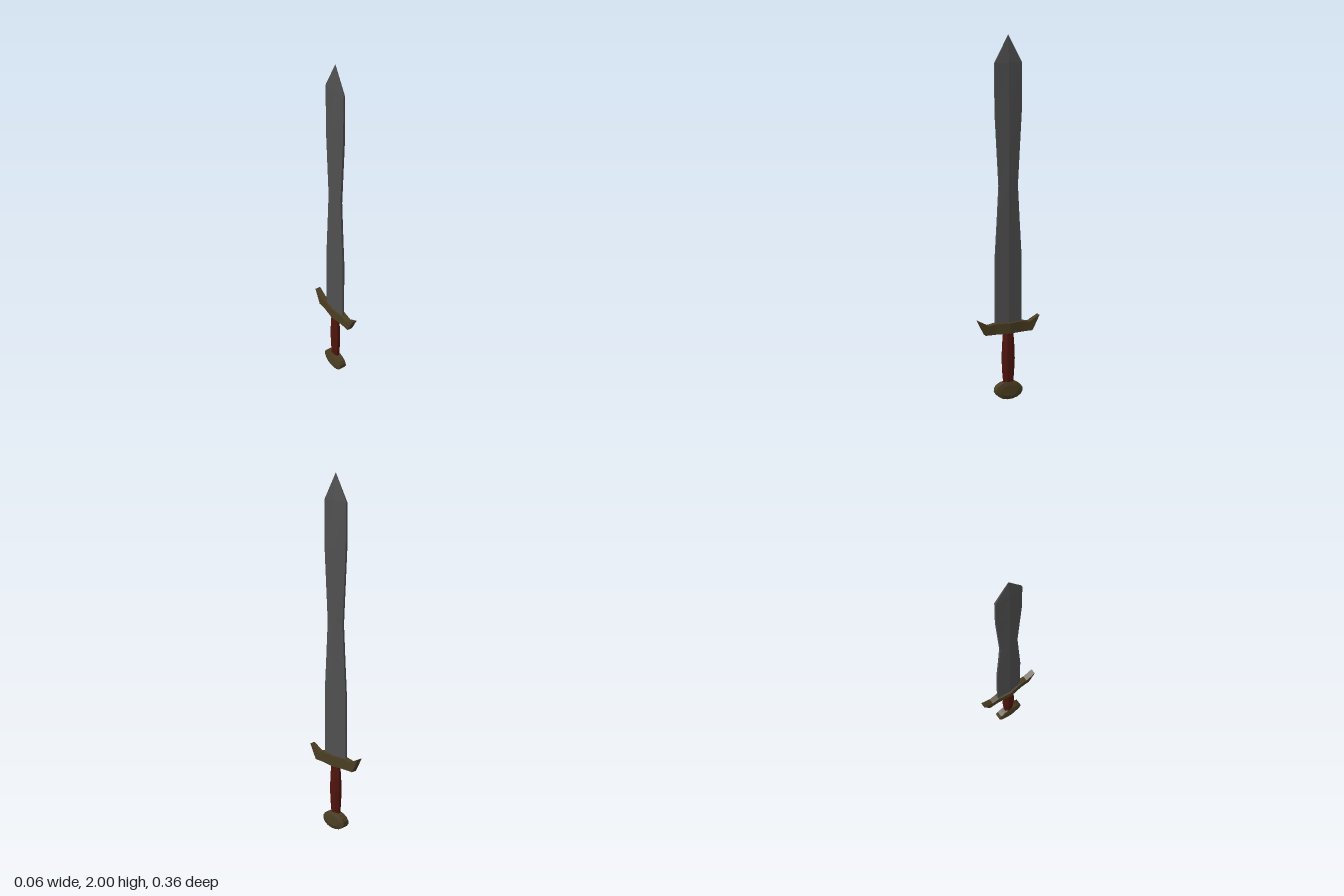
import * as THREE from 'three';

// Skin a list of equal-sized rings (counter-clockwise about the loft axis), capped at both ends.
function loft(rings) {
  const n = rings[0].length;
  const index = [];
  for (let r = 0; r < rings.length - 1; r++) {
    for (let i = 0; i < n; i++) {
      const j = (i + 1) % n;
      const a = r * n + i, b = r * n + j;
      index.push(a, b, b + n, a, b + n, a + n);
    }
  }
  const last = (rings.length - 1) * n;
  for (let i = 1; i < n - 1; i++) {
    index.push(0, i + 1, i, last, last + i, last + i + 1);
  }
  const geometry = new THREE.BufferGeometry();
  geometry.setAttribute('position', new THREE.Float32BufferAttribute(rings.flat(2), 3));
  geometry.setIndex(index);
  const flat = geometry.toNonIndexed();
  flat.computeVertexNormals();
  return flat;
}

// Points around a circle, passed as cosine and sine.
const around = (n, place) => Array.from({ length: n }, (_, i) => {
  const a = (i + 0.5) / n * Math.PI * 2;
  return place(Math.cos(a), Math.sin(a));
});

export function createModel() {
  const group = new THREE.Group();
  const material = (color) => new THREE.MeshStandardMaterial({ color, flatShading: true });
  const steel = material(0x505050);
  const bronze = material(0x4a3d22);
  const leather = material(0x4f140c);
  const add = (name, rings, mat, x = 0) => {
    const mesh = new THREE.Mesh(loft(rings), mat);
    mesh.name = name;
    mesh.position.x = x;
    group.add(mesh);
  };

  // Blade: blunt-edged diamond section, waisted at the middle [y, half width, ridge, edge]
  const blade = [
    [0.42, 0.078, 0.015, 0.006], [0.8, 0.078, 0.015, 0.006],
    [1.0, 0.066, 0.015, 0.006], [1.2, 0.055, 0.015, 0.006],
    [1.4, 0.066, 0.015, 0.006], [1.6, 0.077, 0.015, 0.006],
    [1.855, 0.078, 0.012, 0.005], [2.0, 0.001, 0.001, 0.0005],
  ];
  add('blade', blade.map(([y, w, t, e]) => [
    [t, y, 0], [e, y, -w], [-e, y, -w], [-t, y, 0], [-e, y, w], [e, y, w],
  ]), steel, -0.002);

  // Crossguard: upswept tips, thickest at the middle [z, bottom, top, half thickness]
  const half = [
    [0.181, 0.461, 0.464, 0.016], [0.14, 0.38, 0.442, 0.016],
    [0.122, 0.38, 0.432, 0.016], [0.08, 0.38, 0.439, 0.017],
  ];
  const guard = [
    ...half.map(([z, ...rest]) => [-z, ...rest]),
    [0, 0.38, 0.439, 0.028],
    ...half.slice().reverse(),
  ];
  add('crossguard', guard.map(([z, lo, hi, h]) => [
    [h, lo, z], [h, hi, z], [-h, hi, z], [-h, lo, z],
  ]), bronze);

  // Grip: faceted oval barrel [y, half thickness, half width]
  const grip = [
    [0.08, 0.018, 0.029], [0.15, 0.022, 0.035], [0.23, 0.025, 0.039],
    [0.31, 0.022, 0.036], [0.39, 0.018, 0.03],
  ];
  add('grip', grip.map(([y, rx, rz]) => around(8, (c, s) => [rx * c, y, -rz * s])), leather, -0.002);

  // Pommel: oval disc with bevelled faces [x, scale]
  const pommel = [[-0.026, 0.6], [-0.02, 1], [0.02, 1], [0.026, 0.6]];
  add('pommel', pommel.map(([x, k]) => around(16, (c, s) => [
    x * (1 - 0.1 * c), 0.049 + 0.05 * k * c, 0.08 * k * s,
  ])), bronze, -0.002);

  return group;
}
